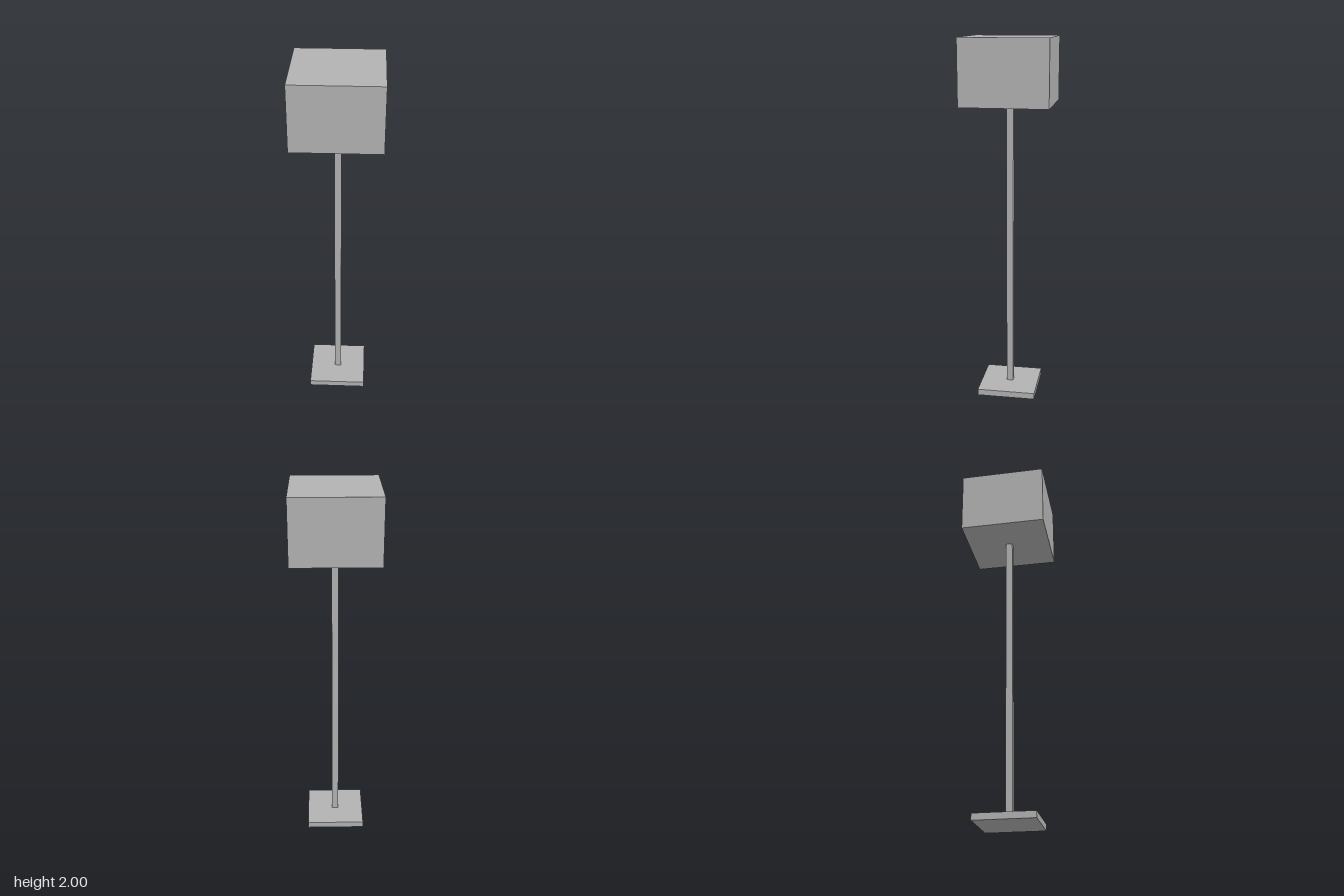
import * as THREE from 'three';

export function createModel() {
  const lamp = new THREE.Group();
  lamp.name = 'floorLamp';

  const grey = new THREE.MeshStandardMaterial({ color: 0xb2b2b2 });
  grey.name = 'grey';

  // Square block spanning the heights y0 to y1
  const addBlock = (name, width, y0, y1) => {
    const mesh = new THREE.Mesh(new THREE.BoxGeometry(width, y1 - y0, width), grey);
    mesh.name = name;
    mesh.position.y = (y0 + y1) / 2;
    lamp.add(mesh);
  };

  addBlock('base', 0.325, 0, 0.035);
  addBlock('pole', 0.037, 0.035, 1.65);
  addBlock('shade', 0.47, 1.65, 2);

  return lamp;
}
